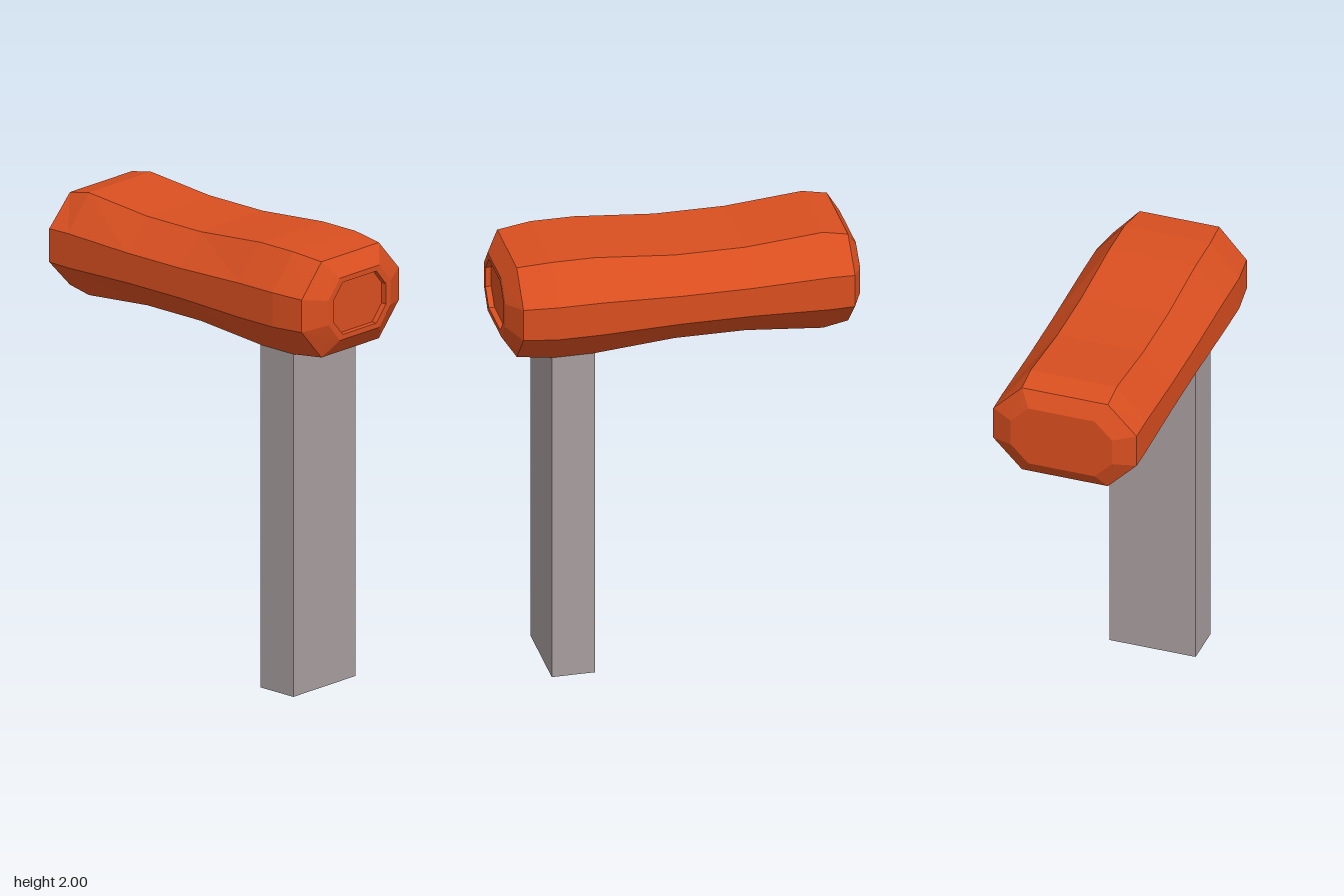
import * as THREE from 'three';

const CENTER_Y = 1.77;

// Octagonal cross-section: w/h half extents, a/b half lengths of the flat edges
function octagon([z, w, a, h, b]) {
  return [[a, h], [-a, h], [-w, b], [-w, -b], [-a, -h], [a, -h], [w, -b], [w, b]]
    .map(([x, y]) => [x, CENTER_Y + y, z]);
}

// Skin the rings in order and close both ends
function loft(sections) {
  const rings = sections.map(octagon);
  const pos = [];
  const tri = (p, q, r) => pos.push(...p, ...q, ...r);
  for (let i = 0; i < rings.length - 1; i++) {
    for (let j = 0; j < 8; j++) {
      const k = (j + 1) % 8;
      const [a, b, c, d] = [rings[i][j], rings[i][k], rings[i + 1][k], rings[i + 1][j]];
      tri(a, b, c);
      tri(a, c, d);
    }
  }
  const first = rings[0], last = rings[rings.length - 1];
  for (let j = 1; j < 7; j++) {
    tri(first[0], first[j + 1], first[j]);
    tri(last[0], last[j], last[j + 1]);
  }
  const geometry = new THREE.BufferGeometry();
  geometry.setAttribute('position', new THREE.Float32BufferAttribute(pos, 3));
  geometry.computeVertexNormals();
  return geometry;
}

export function createModel() {
  const group = new THREE.Group();
  const orange = new THREE.MeshStandardMaterial({ color: 0xd94f20, flatShading: true });
  const grey = new THREE.MeshStandardMaterial({ color: 0xa89e9e, flatShading: true });

  // Faceted bar, back to front, waisted in the middle, with a recessed front cap
  const bar = new THREE.Mesh(loft([
    [-0.775, 0.23, 0.15, 0.14, 0.06],
    [-0.73, 0.325, 0.195, 0.208, 0.075],
    [-0.62, 0.325, 0.195, 0.23, 0.077],
    [-0.28, 0.325, 0.195, 0.2, 0.067],
    [0.03, 0.325, 0.195, 0.2, 0.067],
    [0.38, 0.325, 0.195, 0.23, 0.077],
    [0.57, 0.325, 0.195, 0.23, 0.077],
    [0.72, 0.305, 0.18, 0.215, 0.073],
    [0.775, 0.195, 0.125, 0.14, 0.055],
    [0.775, 0.165, 0.105, 0.117, 0.046],
    [0.75, 0.165, 0.105, 0.117, 0.046],
  ]), orange);
  bar.name = 'bar';
  group.add(bar);

  // Flat upright post under the front of the bar
  const post = new THREE.Mesh(new THREE.BoxGeometry(0.39, 1.54, 0.19), grey);
  post.name = 'post';
  post.position.set(0, 0.77, 0.475);
  group.add(post);

  return group;
}
